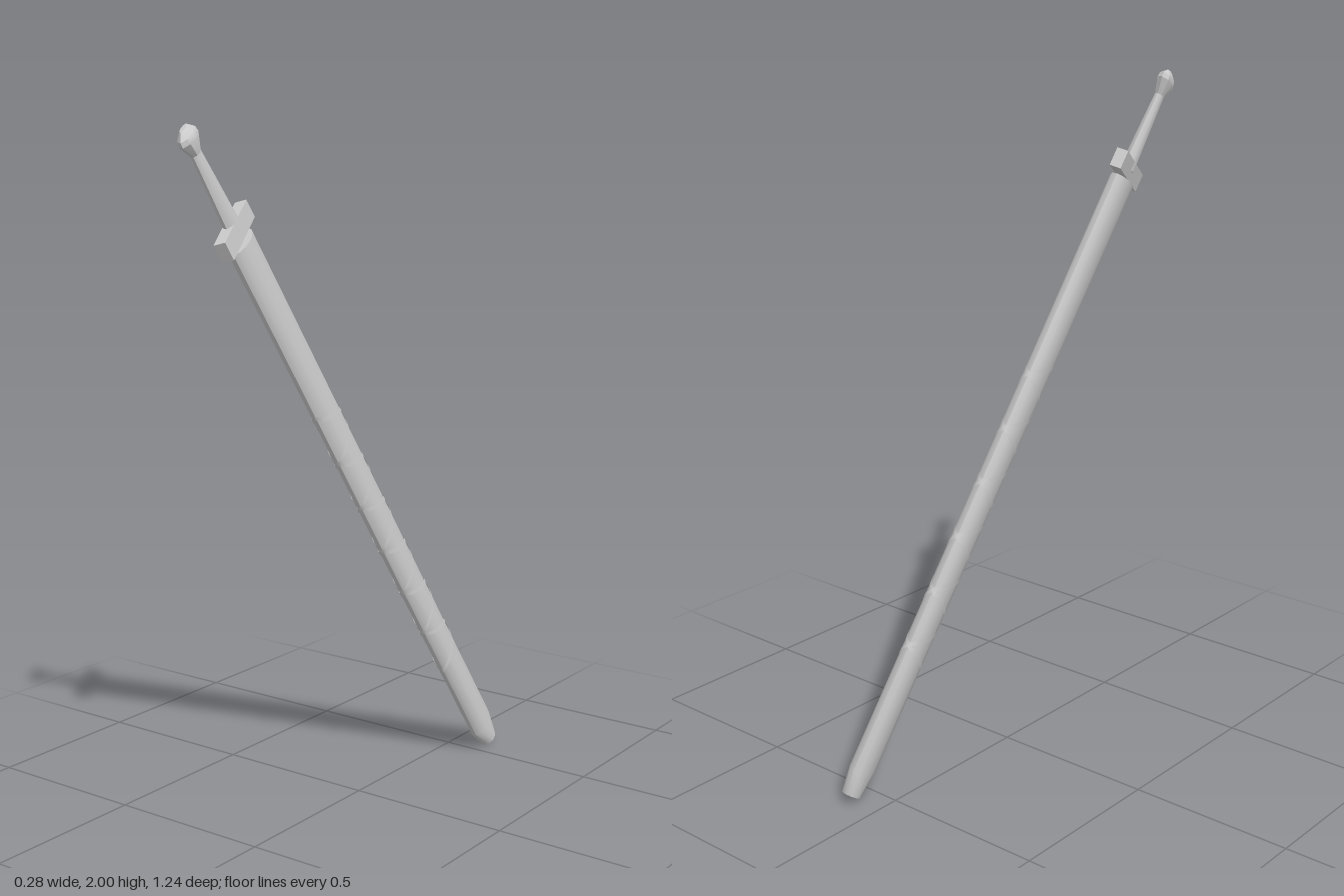
import * as THREE from 'three';
import { mergeVertices, toCreasedNormals } from 'three/addons/utils/BufferGeometryUtils.js';

const material = new THREE.MeshStandardMaterial({ color: 0xcccccc });
const strapMaterial = new THREE.MeshStandardMaterial({ color: 0xcccccc, side: THREE.DoubleSide });

// Flattened lathe: rows of [height, half width, half depth], bottom to top
function flatLathe(rows, sides, crease) {
  const closed = [[rows[0][0], 0.0001, 0.0001], ...rows, [rows.at(-1)[0], 0.0001, 0.0001]];
  let geo = new THREE.LatheGeometry(closed.map(([y, w]) => new THREE.Vector2(w, y)), sides);
  const pos = geo.attributes.position;
  for (let i = 0; i < pos.count; i++) {
    const [, w, d] = closed[i % closed.length];
    pos.setZ(i, pos.getZ(i) * d / w);
  }
  geo.deleteAttribute('uv');
  geo.deleteAttribute('normal');
  geo = mergeVertices(geo, 1e-5);
  geo.computeVertexNormals();
  return toCreasedNormals(geo, crease);
}

// Thin ribbon wound around the scabbard; hand is +1 or -1
function strapGeometry(hand) {
  const top = 0.41, length = 1.02, turns = 6, steps = 144, half = 0.007;
  const points = [], index = [];
  for (let i = 0; i <= steps; i++) {
    const a = hand * i / steps * turns * Math.PI * 2;
    const y = top - i / steps * length;
    for (const s of [half, -half]) points.push(Math.cos(a) * 0.071, y + s, Math.sin(a) * 0.0335);
    if (i < steps) {
      const k = i * 2;
      index.push(k, k + 1, k + 2, k + 1, k + 3, k + 2);
    }
  }
  const geo = new THREE.BufferGeometry();
  geo.setAttribute('position', new THREE.Float32BufferAttribute(points, 3));
  geo.setIndex(index);
  geo.computeVertexNormals();
  return geo;
}

export function createModel() {
  const model = new THREE.Group();
  model.name = 'sheathedSword';
  const sword = new THREE.Group();
  sword.name = 'sword';
  model.add(sword);

  const add = (name, geometry, mat = material) => {
    const mesh = new THREE.Mesh(geometry, mat);
    mesh.name = name;
    sword.add(mesh);
    return mesh;
  };

  // Scabbard with a blunt tapered tip
  add('scabbard', flatLathe([
    [-0.99, 0.036, 0.027],
    [-0.91, 0.067, 0.033],
    [0.4, 0.068, 0.033],
    [0.965, 0.069, 0.034],
  ], 12, 0.8));

  // Criss-crossed wrapping
  add('strapRight', strapGeometry(1), strapMaterial);
  add('strapLeft', strapGeometry(-1), strapMaterial);

  // Straight crossguard
  add('guard', new THREE.BoxGeometry(0.222, 0.056, 0.035)).position.y = 1.0;

  // Tapered grip
  add('grip', flatLathe([
    [1.0, 0.038, 0.021],
    [1.12, 0.03, 0.018],
    [1.26, 0.021, 0.014],
  ], 8, 0.8));

  // Flared pommel
  add('pommel', flatLathe([
    [1.24, 0.021, 0.014],
    [1.285, 0.052, 0.025],
    [1.3, 0.05, 0.022],
    [1.318, 0.025, 0.008],
  ], 8, 0.5));

  // Lean the whole sword: up runs along the blade, across runs along the guard
  const up = new THREE.Vector3(-0.113, 1, 0.6).normalize();
  const across = new THREE.Vector3(0.35, -0.48, 0.8);
  across.addScaledVector(up, -across.dot(up)).normalize();
  const side = new THREE.Vector3().crossVectors(across, up);
  sword.quaternion.setFromRotationMatrix(new THREE.Matrix4().makeBasis(across, up, side));
  sword.position.set(0.004, 0.862, -0.073);
  return model;
}
